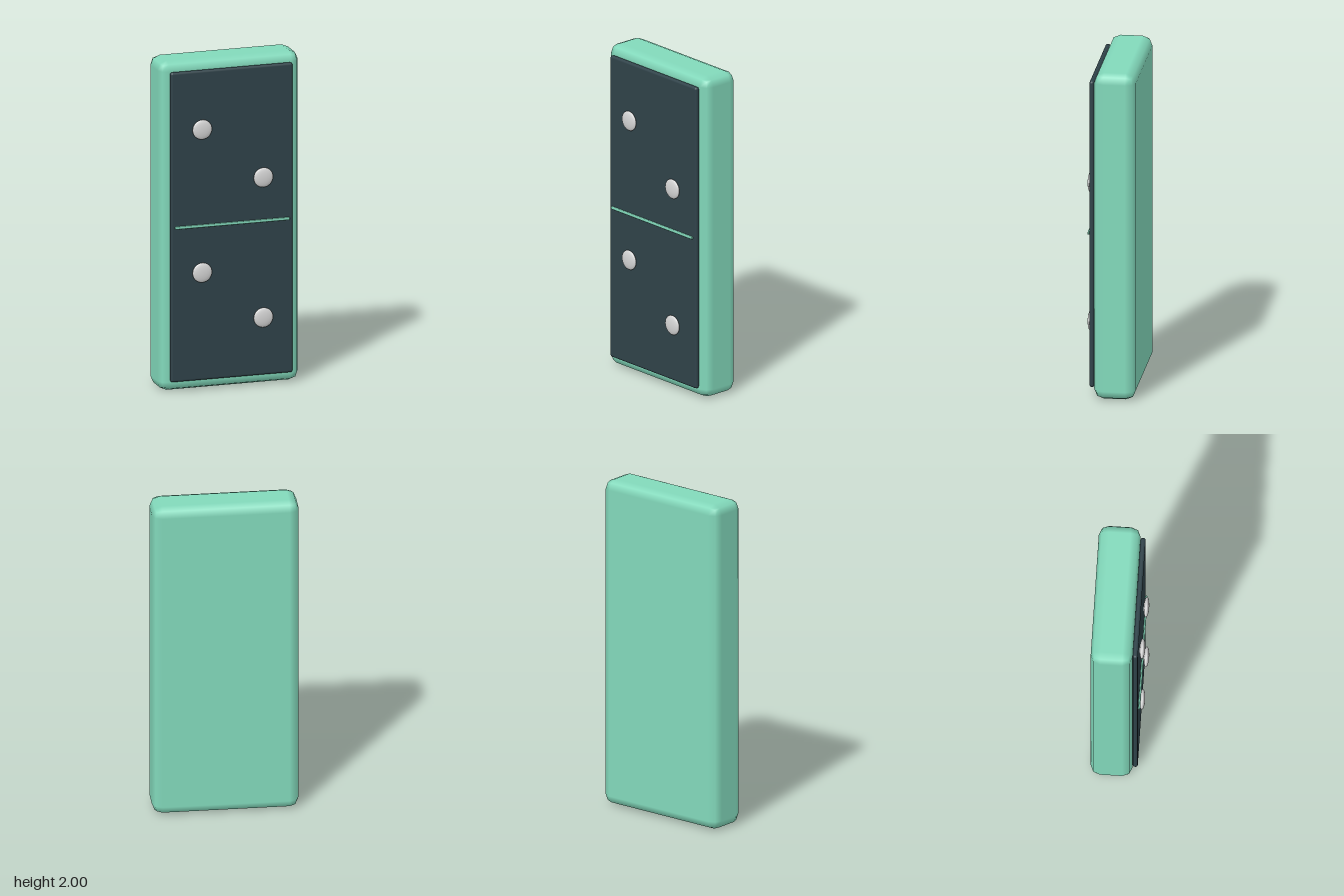
import * as THREE from 'three';
import { RoundedBoxGeometry } from 'three/addons/geometries/RoundedBoxGeometry.js';

function material(name, color) {
  const m = new THREE.MeshStandardMaterial({ color });
  m.name = name;
  return m;
}

export function createModel() {
  const model = new THREE.Group();
  model.name = 'domino';
  const mint = material('mint', 0x82d9bb);
  const slate = material('dark slate', 0x2f4249);
  const white = material('off white', 0xd6d6d6);

  function add(name, geometry, mat, x, y, z) {
    const mesh = new THREE.Mesh(geometry, mat);
    mesh.name = name;
    mesh.position.set(x, y, z);
    model.add(mesh);
    return mesh;
  }

  // Thick tile with softly bevelled edges
  add('body', new RoundedBoxGeometry(0.866, 2, 0.246, 1, 0.058), mint, 0, 1, -0.033);

  // Dark face plate
  add('facePlate', new RoundedBoxGeometry(0.754, 1.88, 0.03, 2, 0.0145), slate, -0.001, 1.004, 0.105);

  // Thin bar dividing the two halves
  add('divider', new RoundedBoxGeometry(0.708, 0.018, 0.012, 2, 0.005), mint, -0.001, 1.003, 0.127);

  // Flattened round pips, two on each half
  const pip = new THREE.SphereGeometry(0.06, 32, 16);
  pip.rotateX(Math.PI / 2);
  pip.scale(1, 1, 0.27);
  for (const [x, y] of [[-0.19, 1.59], [0.187, 1.268], [-0.19, 0.722], [0.187, 0.418]]) {
    add('pip', pip, white, x, y, 0.136);
  }

  return model;
}
